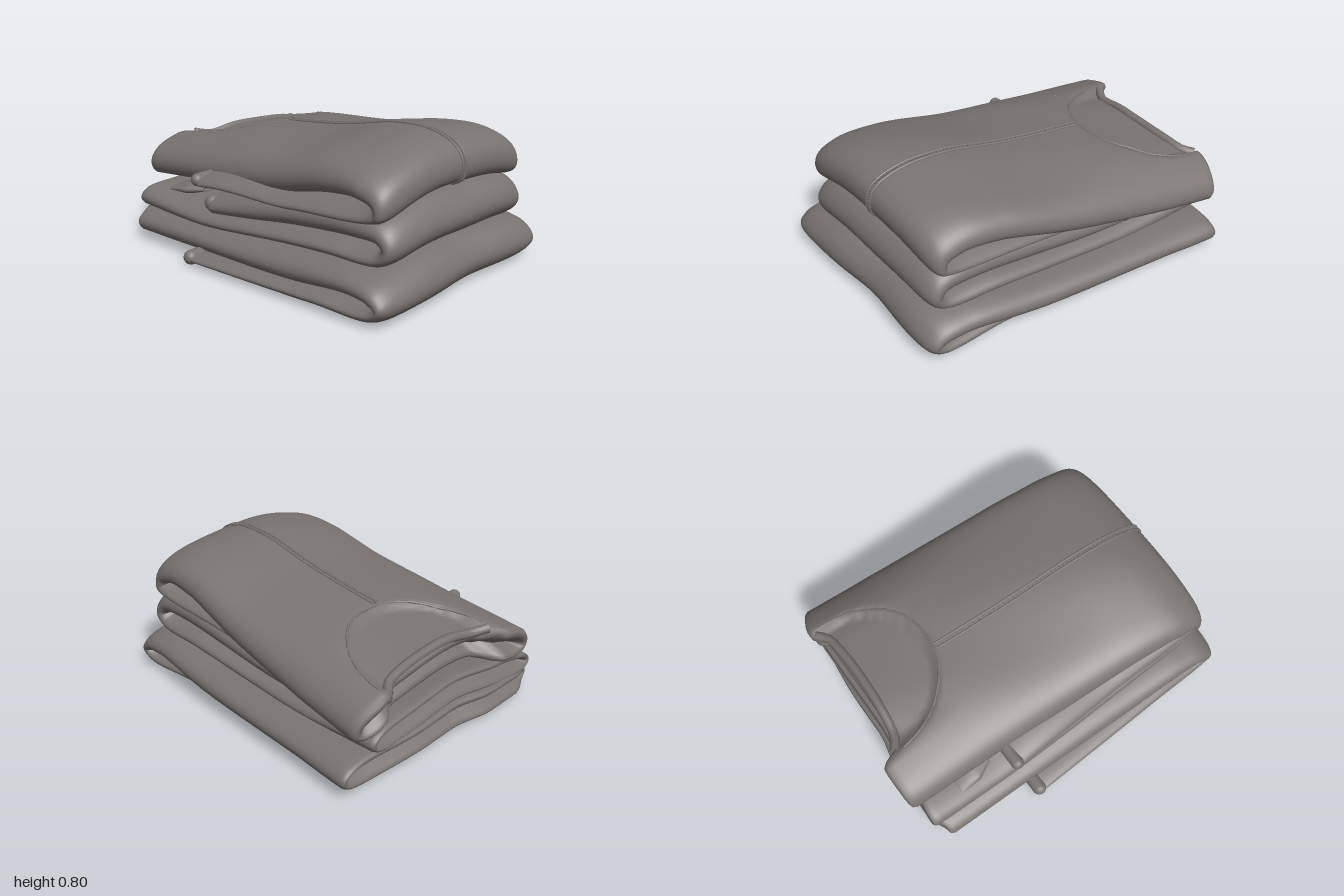
import * as THREE from 'three';

const fabric = new THREE.MeshStandardMaterial({ color: 0x7a7471 });
fabric.name = 'fabric';
fabric.side = THREE.DoubleSide;

const ss = THREE.MathUtils.smoothstep;
const lerp = THREE.MathUtils.lerp;
const V = (x, y, z) => new THREE.Vector3(x, y, z);

// Folded cloth path, from the back of the upper layer, round the front fold, to the
// back of the lower layer. Each row: z, y, half thickness, x min, x max.
const bottomRows = [
  [-0.94, 0.108, 0.078, -0.72, 0.83], [-0.4, 0.125, 0.083, -0.73, 0.77], [0.3, 0.155, 0.08, -0.755, 0.69],
  [0.75, 0.192, 0.07, -0.77, 0.62], [0.9, 0.17, 0.065, -0.78, 0.6], [0.945, 0.115, 0.052, -0.78, 0.59],
  [0.9, 0.062, 0.048, -0.78, 0.585], [0.55, 0.051, 0.046, -0.79, 0.585], [-0.35, 0.038, 0.033, -0.82, 0.6],
];
// The middle garment lies the other way up: short layer above, long layer below
const middleRows = [
  [-0.35, 0.325, 0.058, -0.65, 0.57], [0, 0.37, 0.073, -0.65, 0.56], [0.3, 0.412, 0.077, -0.645, 0.55],
  [0.65, 0.445, 0.078, -0.64, 0.53], [0.83, 0.43, 0.068, -0.635, 0.52], [0.875, 0.37, 0.057, -0.635, 0.52],
  [0.83, 0.318, 0.05, -0.64, 0.52], [0.5, 0.298, 0.05, -0.65, 0.55], [0, 0.263, 0.05, -0.66, 0.58],
  [-0.4, 0.24, 0.055, -0.66, 0.61], [-0.92, 0.255, 0.07, -0.65, 0.64],
];
const topRows = [
  [-0.9, 0.485, 0.1, -0.53, 0.77], [-0.45, 0.545, 0.1, -0.56, 0.72], [0.1, 0.605, 0.1, -0.6, 0.64],
  [0.5, 0.69, 0.092, -0.64, 0.57], [0.72, 0.7, 0.08, -0.665, 0.54], [0.83, 0.66, 0.07, -0.67, 0.53],
  [0.845, 0.6, 0.055, -0.67, 0.53], [0.78, 0.57, 0.045, -0.66, 0.53], [0.3, 0.52, 0.04, -0.66, 0.54],
  [-0.4, 0.455, 0.037, -0.69, 0.56],
];

// Top garment: scooped neck, uneven back edge, drooping left shoulder, lower layer lifted on the right
const neck = { x: 0.16, z: -0.88, rx: 0.42, rz: 0.47 };
function shapeTop(p, h, u) {
  if (u > 0.7) p.y += 0.06 * ss(-p.x, 0.3, 0.7) * ss(-p.z, -0.3, 0.3);
  if (u > 0.4) return;
  const d = Math.hypot((p.x - neck.x) / neck.rx, (p.z - neck.z) / neck.rz);
  if (h > 0) p.y -= 0.035 * h * (1 - ss(d, 0.93, 1));
  p.y -= 0.05 * ss(p.x, 0.42, 0.75) * ss(-p.z, -0.3, 0.6);
  const inNeck = ss(p.x, -0.27, -0.18) * (1 - ss(p.x, 0.48, 0.57));
  const reach = -0.09 * (1 - ss(p.x, -0.3, -0.22)) + 0.06 * inNeck + 0.05 * ss(p.x, 0.6, 0.8);
  p.z += reach * ss(-p.z, 0.4, 0.88);
}
// Middle garment: back edge further out on the right-hand side
function shapeMiddle(p) {
  p.z += (0.05 * ss(p.x, -0.4, 0) - 0.025 * ss(-p.x, 0.4, 0.6)) * ss(-p.z, 0.4, 0.9);
}
// Bottom garment: back corners pulled forward, front edge dented in the middle
function shapeBottom(p) {
  const pull = 0.05 * ss(p.x, -0.3, 0) + 0.045 * ss(p.x, 0.2, 0.8) + 0.05 * ss(-p.x, 0.55, 0.7);
  p.z += pull * ss(-p.z, 0.4, 0.9);
  p.z -= 0.03 * Math.exp(-p.x * p.x * 16) * ss(p.z, 0.6, 0.95);
}

function makeCloth(rows, sag, shape) {
  const curve = new THREE.CatmullRomCurve3(rows.map(r => V(r[0], r[1], r[2])));
  return { rows, curve, n: rows.length - 1, sag, shape };
}

// Left and right edges of the cloth at u
function edges(c, u) {
  const i = Math.min(c.n - 1, Math.floor(u * c.n)), s = u * c.n - i;
  return [3, 4].map(k => lerp(c.rows[i][k], c.rows[i + 1][k], s));
}

// Point on the cloth: u along the fold, f across (-1..1), h up or down side, k hollow scale
function clothPoint(c, u, f, h, k = 1, lift = 0) {
  const p = c.curve.getPoint(u);
  const a = c.curve.getPoint(Math.max(0, u - 0.004)), b = c.curve.getPoint(Math.min(1, u + 0.004));
  const len = Math.hypot(b.x - a.x, b.y - a.y);
  const nz = -(b.y - a.y) / len, ny = (b.x - a.x) / len;
  const [xl, xr] = edges(c, u);
  const w = (xr - xl) / 2 - (1 - k) * p.z;
  const off = h * k * p.z + lift;
  const q = V((xl + xr) / 2 + f * w, p.y + ny * off, p.x + nz * off);
  q.y -= c.sag * f * f * ss(p.y, 0.05, 0.18);
  q.y += 0.005 * Math.sin(q.x * 9 + q.z * 5) * ss(q.y, 0.08, 0.2);
  if (c.shape) c.shape(q, h, u);
  return q;
}
const pillow = f => Math.sqrt(Math.max(0, 1 - Math.pow(Math.abs(f), 10)));

// Skin of rings along the fold, with hollow rolled-in ends
function clothMesh(c, name, per = 16, ring = 96) {
  const lip = [[0.02, 0.03], [0.003, 0.5], [0, 0.72], [0.0015, 0.9], [0.006, 1]];
  const stations = [...lip];
  for (let j = 1; j < c.n * per; j++) {
    const u = j / (c.n * per);
    if (u > 0.009 && u < 0.991) stations.push([u, 1]);
  }
  lip.slice().reverse().forEach(([u, k]) => stations.push([1 - u, k]));
  const pos = [], idx = [];
  stations.forEach(([u, k], j) => {
    for (let i = 0; i < ring; i++) {
      const t = i / ring * Math.PI * 2, f = Math.cos(t);
      const p = clothPoint(c, u, f, Math.sign(Math.sin(t)) * pillow(f), k);
      pos.push(p.x, Math.max(0, p.y), p.z);
      if (j === stations.length - 1) continue;
      const a = j * ring + i, b = j * ring + (i + 1) % ring;
      idx.push(a, b, a + ring, b, b + ring, a + ring);
    }
  });
  const g = new THREE.BufferGeometry();
  g.setAttribute('position', new THREE.Float32BufferAttribute(pos, 3));
  g.setIndex(idx);
  g.computeVertexNormals();
  const m = new THREE.Mesh(g, fabric);
  m.name = name;
  return m;
}

// Point on the outside of a cloth at a given x
function outside(c, u, x, lift) {
  const [xl, xr] = edges(c, u);
  const f = THREE.MathUtils.clamp((2 * x - xl - xr) / (xr - xl), -1, 1);
  return clothPoint(c, u, f, pillow(f), 1, lift);
}
function findU(c, x, z) {
  let best = 0, err = 9;
  for (let u = 0; u < 0.4; u += 0.002) {
    const e = Math.abs(outside(c, u, x, 0).z - z);
    if (e < err) { err = e; best = u; }
  }
  return best;
}

function tube(points, r, name) {
  const m = new THREE.Mesh(
    new THREE.TubeGeometry(new THREE.CatmullRomCurve3(points), points.length * 3, r, 8), fabric);
  m.name = name;
  return m;
}

// Rolled hem lying across x
function hem(x0, x1, y, z, r, name) {
  const m = new THREE.Mesh(new THREE.CapsuleGeometry(r, x1 - x0 - 2 * r, 6, 14), fabric);
  m.rotation.z = Math.PI / 2;
  m.position.set((x0 + x1) / 2, y, z);
  m.name = name;
  return m;
}

export function createModel() {
  const model = new THREE.Group();
  model.name = 'foldedClothes';

  const bottom = makeCloth(bottomRows, 0.03, shapeBottom), middle = makeCloth(middleRows, 0.038, shapeMiddle);
  const top = makeCloth(topRows, 0.092, shapeTop);
  model.add(clothMesh(bottom, 'bottomGarment'), clothMesh(middle, 'middleGarment'), clothMesh(top, 'topGarment'));

  // Hems and tucked sleeves between the layers
  model.add(hem(-0.83, 0.6, 0.045, -0.33, 0.04, 'bottomHem'));
  model.add(hem(-0.64, 0.58, 0.3, -0.36, 0.045, 'middleHem'));
  model.add(hem(-0.7, -0.4, 0.44, -0.4, 0.036, 'topHem'));
  const sleeve = makeCloth([[-0.72, 0.32, 0.02, -0.6, 0.52], [-0.6, 0.335, 0.035, -0.6, 0.53],
    [-0.5, 0.345, 0.02, -0.55, 0.5]], 0.01);
  const lowSleeve = makeCloth([[-0.8, 0.035, 0.02, -0.5, 0.7], [-0.6, 0.03, 0.02, -0.5, 0.69],
    [-0.42, 0.03, 0.018, -0.5, 0.66]], 0);
  model.add(clothMesh(sleeve, 'tuckedSleeve', 8, 48), clothMesh(lowSleeve, 'lowTuckedSleeve', 8, 48));

  // Neckline edge and back collar
  const rim = [];
  for (let i = 0; i <= 28; i++) {
    const a = 0.06 + i / 28 * (Math.PI - 0.12);
    const x = neck.x + neck.rx * 1.01 * Math.cos(a), z = neck.z + neck.rz * 1.01 * Math.sin(a);
    rim.push(outside(top, findU(top, x, z), x, -0.004));
  }
  model.add(tube(rim, 0.007, 'necklineEdge'));
  const collar = [[-0.25, -0.9], [-0.17, -0.85], [0, -0.825], [0.2, -0.815], [0.4, -0.82], [0.5, -0.835], [0.56, -0.88]]
    .map(([x, z]) => { const p = outside(top, findU(top, x, z), x, 0); return V(x, p.y, z); });
  model.add(tube(collar, 0.026, 'backCollar'));

  // Zip running from the neckline over the front fold: piping on both sides, teeth between
  const u0 = findU(top, 0.07, -0.4), u1 = 0.72, steps = 90;
  const left = [], right = [], teeth = new THREE.Group();
  teeth.name = 'zipTeeth';
  const toothShape = new THREE.BoxGeometry(0.012, 0.008, 0.008);
  for (let j = 0; j <= steps; j++) {
    const u = lerp(u0, u1, j / steps);
    const z = outside(top, u, 0, 0).z;
    const x = u > 0.55 ? -0.04 : THREE.MathUtils.mapLinear(z, -0.4, 0.88, 0.07, -0.04);
    left.push(outside(top, u, x - 0.015, 0.002));
    right.push(outside(top, u, x + 0.015, 0.002));
    const tooth = new THREE.Mesh(toothShape, fabric);
    tooth.name = 'zipTooth';
    tooth.position.copy(outside(top, u, x + (j % 2 ? 0.004 : -0.004), 0.002));
    teeth.add(tooth);
  }
  model.add(teeth, tube(left, 0.007, 'zipPipingRight'), tube(right, 0.007, 'zipPipingLeft'));
  return model;
}
